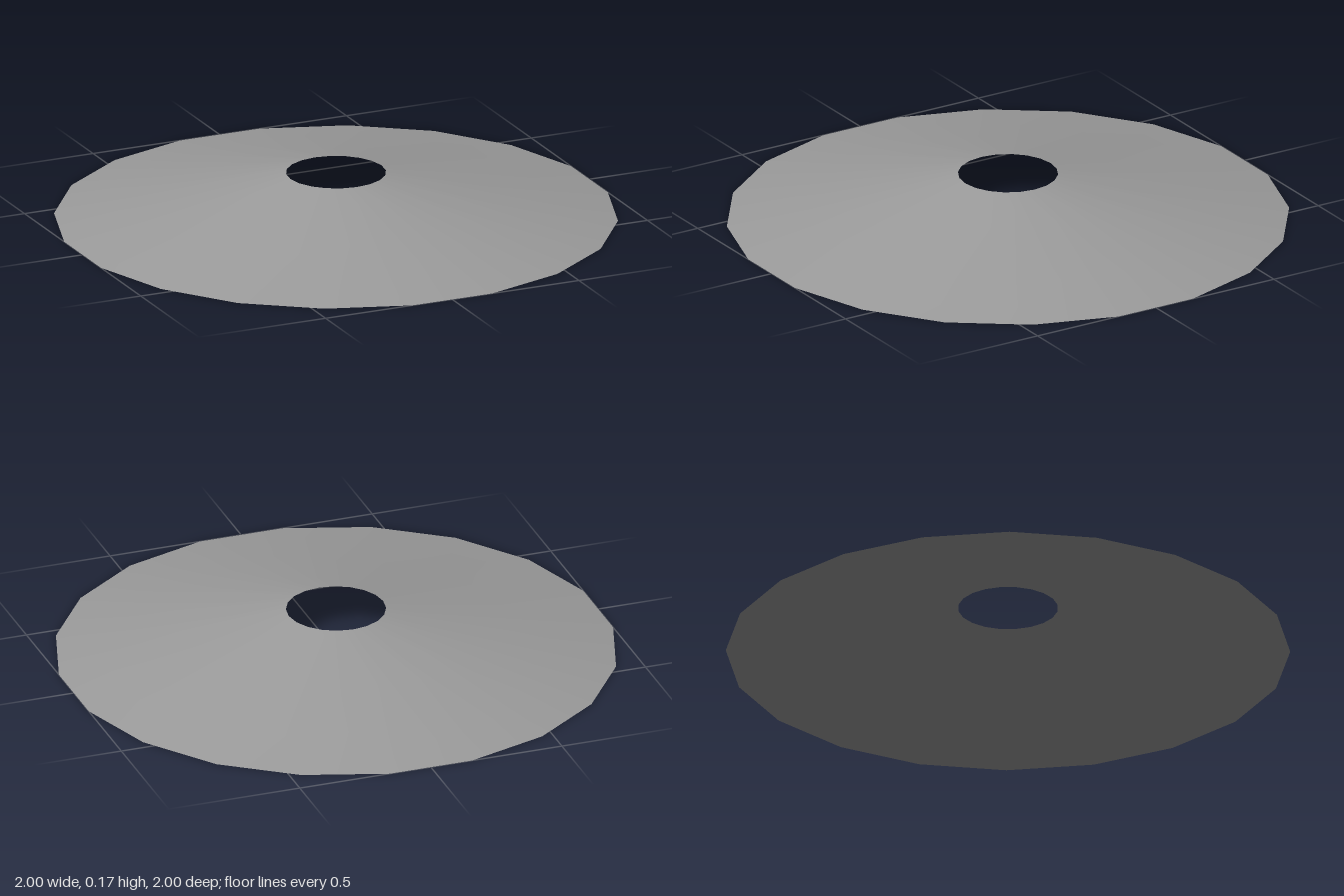
import * as THREE from 'three';
import { mergeVertices } from 'three/addons/utils/BufferGeometryUtils.js';

export function createModel() {
  const group = new THREE.Group();
  const sides = 20;

  // Shallow open cone: rim, slight bend, edge of the central hole
  const profile = [
    new THREE.Vector2(1.0125, 0),
    new THREE.Vector2(0.72, 0.056),
    new THREE.Vector2(0.18, 0.17),
  ];
  const lathe = new THREE.LatheGeometry(profile, sides);

  // Turn only the rim by half a side, so its corners sit between those above
  const position = lathe.attributes.position;
  const point = new THREE.Vector3();
  const up = new THREE.Vector3(0, 1, 0);
  for (let i = 0; i < position.count; i += profile.length) {
    point.fromBufferAttribute(position, i).applyAxisAngle(up, -Math.PI / sides);
    position.setXYZ(i, point.x, point.y, point.z);
  }

  // Join the seam for smooth shading all round
  lathe.deleteAttribute('uv');
  lathe.deleteAttribute('normal');
  const geometry = mergeVertices(lathe);
  geometry.computeVertexNormals();

  const shade = new THREE.Mesh(
    geometry,
    new THREE.MeshStandardMaterial({ color: 0x9b9b9b, side: THREE.DoubleSide })
  );
  shade.name = 'conicalShade';
  group.add(shade);

  return group;
}
